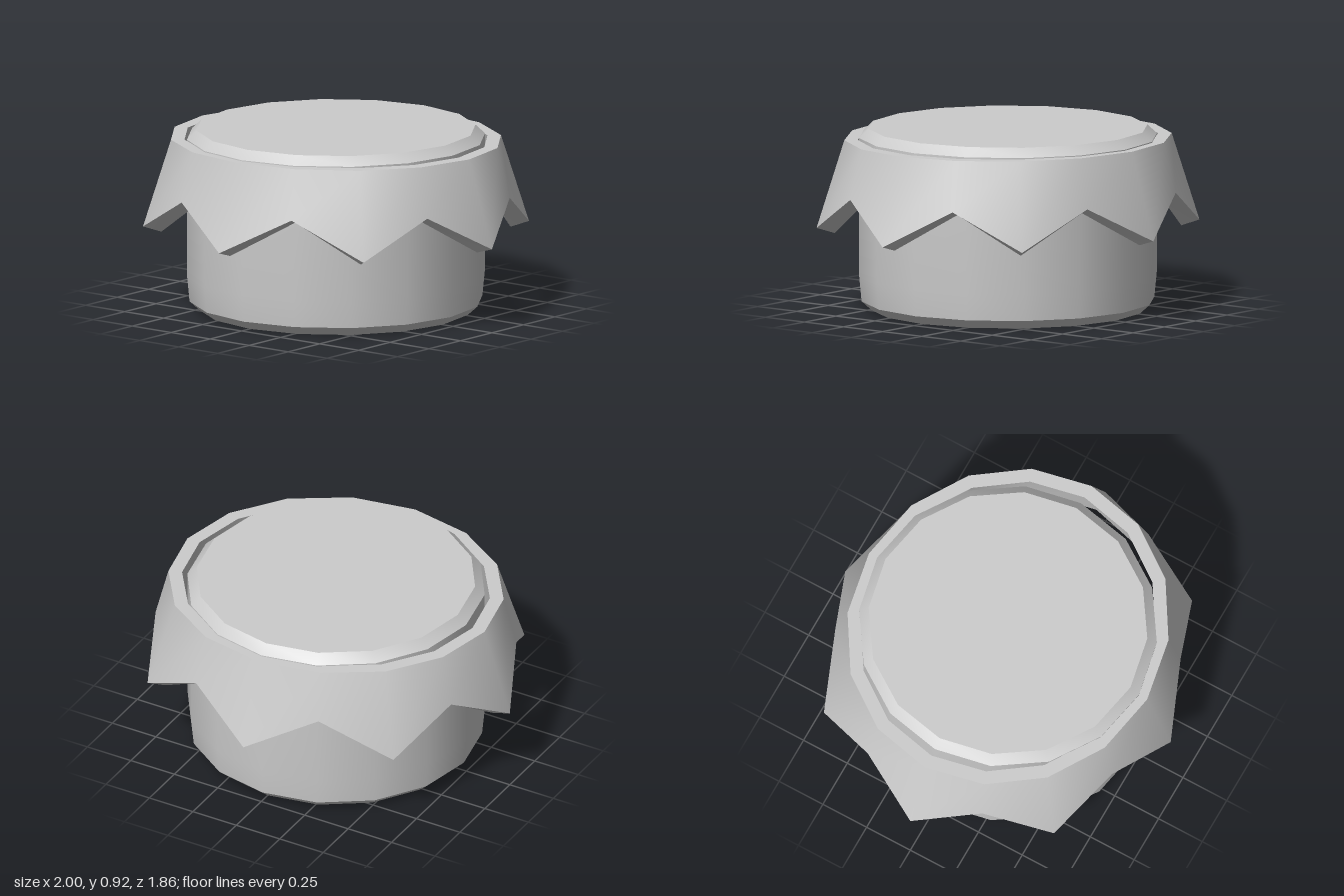
import * as THREE from 'three';
import { toCreasedNormals } from 'three/addons/utils/BufferGeometryUtils.js';

const SIDES = 16;

// Ring cross-section at one step round the cover: outer top, outer hem, inner hem, inner top.
// Even steps hang down as points, odd steps are the notches between them.
function coverSection(step) {
  const hem = step % 2 === 0
    ? [[1.0, 0.425], [0.905, 0.397]]
    : [[0.92, 0.615], [0.84, 0.59]];
  const angle = (step / SIDES) * Math.PI * 2;
  return [[0.855, 0.865], ...hem, [0.785, 0.865]].map(([r, y]) =>
    [r * Math.cos(angle), y, 0.93 * r * Math.sin(angle)]);
}

function coverGeometry() {
  const positions = [];
  for (let s = 0; s < SIDES; s++) {
    const a = coverSection(s);
    const b = coverSection((s + 1) % SIDES);
    for (let i = 0; i < 4; i++) {
      const j = (i + 1) % 4;
      positions.push(...a[i], ...b[i], ...b[j], ...a[i], ...b[j], ...a[j]);
    }
  }
  const geometry = new THREE.BufferGeometry();
  geometry.setAttribute('position', new THREE.Float32BufferAttribute(positions, 3));
  return toCreasedNormals(geometry, Math.PI / 5);
}

export function createModel() {
  const model = new THREE.Group();
  model.name = 'coveredJar';
  const grey = new THREE.MeshStandardMaterial({ name: 'light grey', color: 0xcccccc });

  // Squat jar with bevelled foot and top
  const profile = [[0, 0], [0.685, 0], [0.735, 0.045], [0.748, 0.18], [0.748, 0.87], [0.7, 0.915], [0, 0.915]]
    .map(([r, y]) => new THREE.Vector2(r, y));
  const jar = new THREE.Mesh(
    toCreasedNormals(new THREE.LatheGeometry(profile, SIDES), Math.PI / 6), grey);
  jar.name = 'jar';

  // Flared zigzag cloth ring round the top
  const cover = new THREE.Mesh(coverGeometry(), grey);
  cover.name = 'clothCover';

  model.add(jar, cover);
  return model;
}
